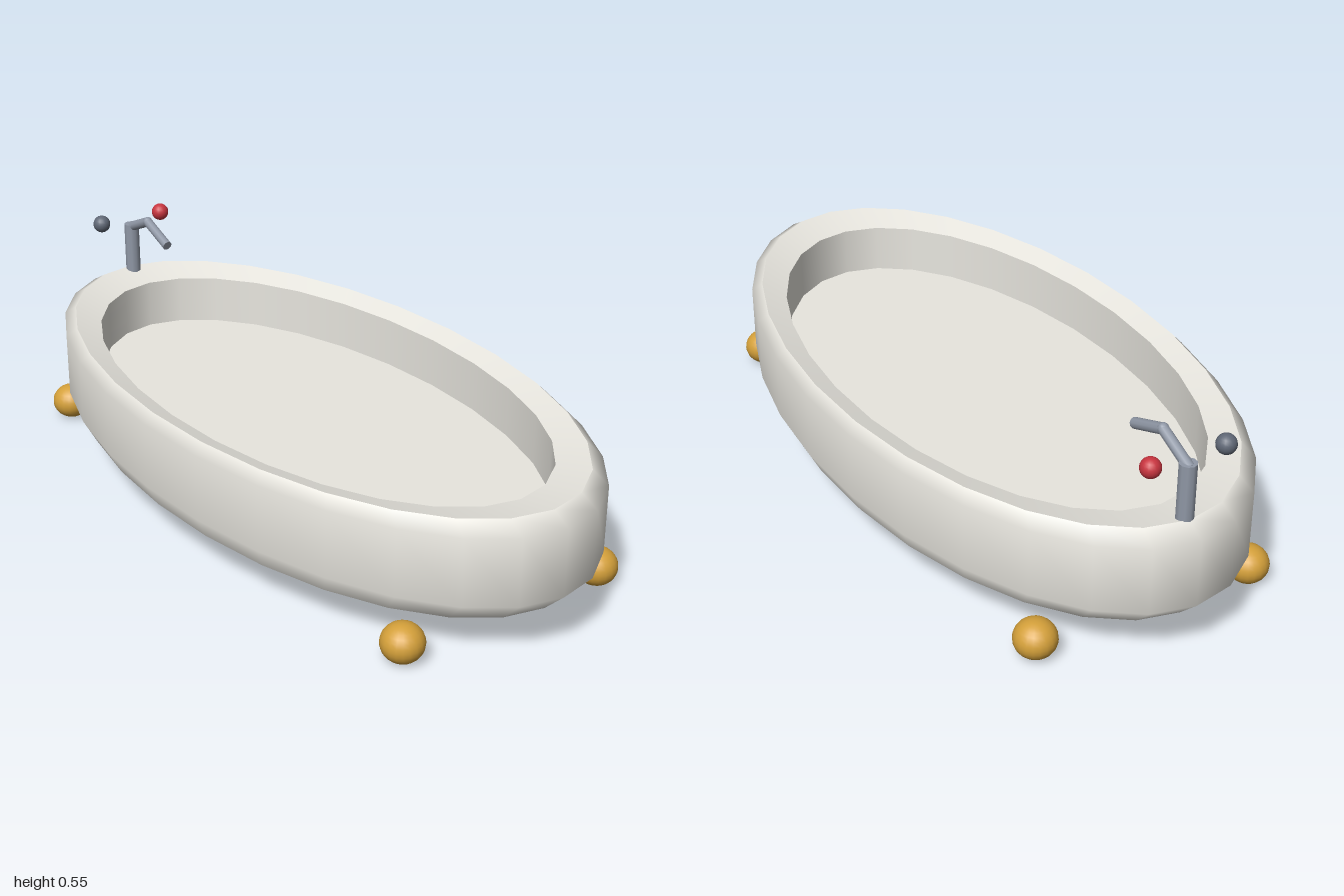
import * as THREE from 'three';

const enamel = new THREE.MeshStandardMaterial({ color: 0xe8e6df });
const brass = new THREE.MeshStandardMaterial({ color: 0xd4a03a });
const steel = new THREE.MeshStandardMaterial({ color: 0x9098a6 });
const coldGrey = new THREE.MeshStandardMaterial({ color: 0x606876 });
const hotRed = new THREE.MeshStandardMaterial({ color: 0xc8343f });

function addMesh(parent, name, geometry, material, x = 0, y = 0, z = 0) {
  const mesh = new THREE.Mesh(geometry, material);
  mesh.name = name;
  mesh.position.set(x, y, z);
  parent.add(mesh);
  return mesh;
}

// Lathed surface stretched along z into an oval twice as long as wide
function oval(profile) {
  const points = profile.map(([r, y]) => new THREE.Vector2(r, y));
  return new THREE.LatheGeometry(points, 28).scale(1, 1, 2);
}

// Straight pipe between two points
function addPipe(parent, name, from, to, radius) {
  const dir = to.clone().sub(from);
  const pipe = addMesh(parent, name, new THREE.CylinderGeometry(radius, radius, dir.length(), 10), steel);
  pipe.position.copy(from).addScaledVector(dir, 0.5);
  pipe.quaternion.setFromUnitVectors(new THREE.Vector3(0, 1, 0), dir.normalize());
}

export function createModel() {
  const model = new THREE.Group();
  model.name = 'bathtub';

  // Tub: each run is smooth, with sharp edges between runs
  const tub = new THREE.Group();
  tub.name = 'tub';
  model.add(tub);
  const runs = {
    underside: [[0, 0.107], [0.47, 0.107]],
    outerShell: [[0.47, 0.107], [0.5, 0.165], [0.5, 0.34], [0.475, 0.367]],
    rim: [[0.475, 0.367], [0.42, 0.345]],
    innerWall: [[0.42, 0.345], [0.42, 0.21]],
    floor: [[0.42, 0.21], [0, 0.21]],
  };
  for (const [name, profile] of Object.entries(runs)) addMesh(tub, name, oval(profile), enamel);

  // Four slightly flattened ball feet
  const footGeometry = new THREE.SphereGeometry(0.054, 20, 14).scale(1, 0.91, 1);
  for (const x of [-0.3, 0.3])
    for (const z of [-0.8, 0.8]) addMesh(model, 'foot', footGeometry, brass, x, 0.052, z);

  // Tap: post, bent spout and two knobs
  const tap = new THREE.Group();
  tap.name = 'tap';
  model.add(tap);
  const at = (y, z) => new THREE.Vector3(0, y, z);
  addPipe(tap, 'tapPost', at(0.345, -0.932), at(0.507, -0.932), 0.022);
  addPipe(tap, 'spoutRise', at(0.495, -0.94), at(0.541, -0.83), 0.014);
  addPipe(tap, 'spoutDrop', at(0.541, -0.835), at(0.497, -0.722), 0.014);
  addMesh(tap, 'spoutElbow', new THREE.SphereGeometry(0.014, 10, 8), steel, 0, 0.541, -0.832);
  const knobGeometry = new THREE.SphereGeometry(0.025, 16, 12);
  addMesh(tap, 'hotKnob', knobGeometry, hotRed, 0.1, 0.525, -0.932);
  addMesh(tap, 'coldKnob', knobGeometry, coldGrey, -0.1, 0.525, -0.932);

  return model;
}
